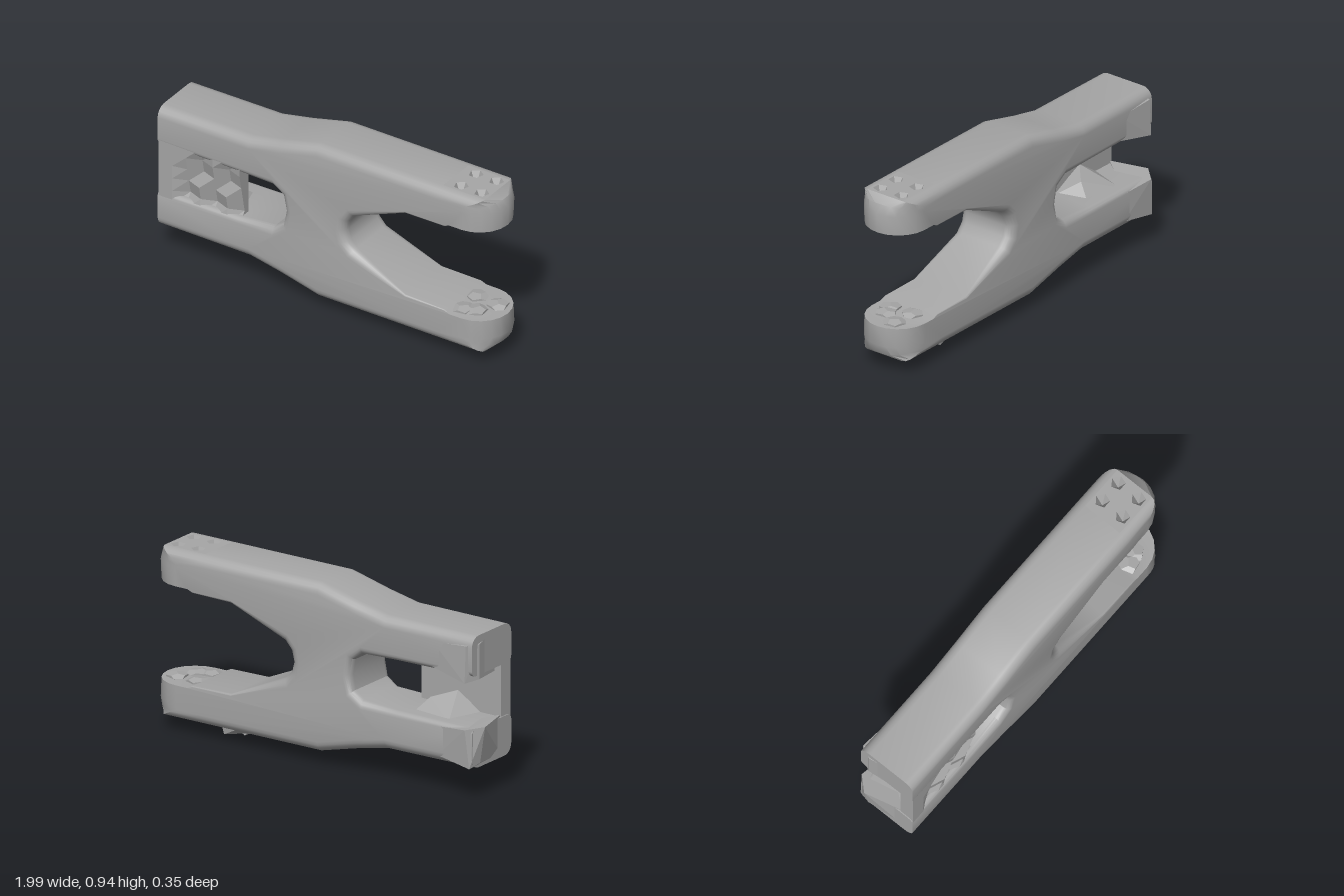
import * as THREE from 'three';
import { toCreasedNormals } from 'three/addons/utils/BufferGeometryUtils.js';
import { ConvexGeometry } from 'three/addons/geometries/ConvexGeometry.js';

const H = 0.165;   // half thickness of the fork
const MID = 0.505; // height of the mirror plane

// Upper half of the outline: x, y, inward rounding (dx, dy), rounding depth
const UPPER = [
  [0.13, 0.505, -0.05, 0, 0.05], [0.145, 0.56, -0.05, 0.02, 0.05], [0.18, 0.6, -0.03, 0.04, 0.05],
  [0.49, 0.74, 0, 0.01, 0.01], [0.72, 0.745, 0, 0.005, 0.005], [0.75, 0.76, 0, 0, 0],
  [0.985, 0.76, -0.165, 0, 0.165], [0.99, 0.86, -0.165, 0, 0.165], [0.97, 0.91, -0.15, -0.04, 0.14],
  [0.925, 0.94, -0.11, -0.055, 0.055], [0.68, 0.94, 0, -0.055, 0.055], [-0.03, 0.94, 0, -0.055, 0.055],
  [-0.25, 0.885, 0, -0.055, 0.055], [-0.43, 0.848, 0, -0.055, 0.055], [-0.96, 0.845, 0, -0.055, 0.055],
  [-0.96, 0.64, 0, 0.03, 0.03], [-0.5, 0.635, 0, 0.03, 0.03], [-0.29, 0.625, 0, 0.04, 0.04],
  [-0.235, 0.585, 0.03, 0.03, 0.04], [-0.22, 0.505, 0.04, 0, 0.04],
];

// Slab whose edges are rounded by a different amount at each outline point
function forkGeometry() {
  const lower = UPPER.slice(1, -1).reverse().map(([x, y, dx, dy, r]) => [x, 2 * MID - y, dx, -dy, r]);
  const outline = [...UPPER, ...lower];
  const steps = 5, rings = [];
  for (const s of [-1, 1]) {
    for (let k = 0; k <= steps; k++) {
      const a = (s < 0 ? steps - k : k) / steps * Math.PI / 2;
      rings.push(outline.map(([x, y, dx, dy, r]) => {
        const t = 1 - Math.cos(a);
        return new THREE.Vector3(x + dx * t, y + dy * t, s * (H - r * (1 - Math.sin(a))));
      }));
    }
  }
  const pos = [];
  const tri = (a, b, c) => {
    const area = b.clone().sub(a).cross(c.clone().sub(a)).length();
    if (area > 1e-9) for (const p of [a, b, c]) pos.push(p.x, p.y, p.z);
  };
  const n = outline.length;
  for (let k = 0; k < rings.length - 1; k++) {
    for (let i = 0; i < n; i++) {
      const j = (i + 1) % n;
      // leave the flat strip at each tip open for the pitted plate
      if (k === steps && Math.abs(outline[i][0] + outline[j][0] - 1.605) < 1e-4) continue;
      tri(rings[k][i], rings[k][j], rings[k + 1][j]);
      tri(rings[k][i], rings[k + 1][j], rings[k + 1][i]);
    }
  }
  const back = rings[0], front = rings[rings.length - 1];
  const faces = THREE.ShapeUtils.triangulateShape(front.map(p => new THREE.Vector2(p.x, p.y)), []);
  for (const [a, b, c] of faces) {
    tri(front[a], front[b], front[c]);
    tri(back[a], back[c], back[b]);
  }
  const g = new THREE.BufferGeometry();
  g.setAttribute('position', new THREE.Float32BufferAttribute(pos, 3));
  return toCreasedNormals(g, 0.6);
}

export function createModel() {
  const steel = new THREE.MeshStandardMaterial({ color: 0xa6a6a6, side: THREE.DoubleSide });
  steel.name = 'grey';
  const model = new THREE.Group();
  model.name = 'forkBracket';
  const body = new THREE.Group();
  body.name = 'body';
  body.position.z = 0.01;
  model.add(body);
  const add = (parent, name, geometry) => {
    const mesh = new THREE.Mesh(geometry, steel);
    mesh.name = name;
    parent.add(mesh);
    return mesh;
  };
  const flat = g => {
    const f = g.index ? g.toNonIndexed() : g;
    f.computeVertexNormals();
    return f;
  };
  const shard = (parent, name, pts) =>
    add(parent, name, flat(new ConvexGeometry(pts.map(p => new THREE.Vector3(...p)))));

  add(body, 'fork', forkGeometry());

  // Front wall of the rear pocket, dented in the middle
  const wall = new THREE.BoxGeometry(0.475, 0.36, 0.08, 6, 5, 1);
  const p = wall.attributes.position;
  for (let i = 0; i < p.count; i++) {
    const x = p.getX(i), y = p.getY(i);
    if (p.getZ(i) > 0 && x > -0.1 && Math.abs(y) < 0.15) {
      const col = Math.round((x + 0.2375) / 0.079), row = Math.round((y + 0.18) / 0.072);
      p.setZ(i, 0.04 - 0.015 * ((col * 2 + row * 3) % 4));
    }
  }
  add(body, 'pocketWall', flat(wall)).position.set(-0.7175, MID, 0.124);

  // Tips: pitted outer plates and worn jaw pads, mirrored
  const pits = [];
  for (const x of [0.755, 0.875]) for (const z of [-0.065, 0.065]) pits.push([x, z]);
  const plate = new THREE.Shape([[0.68, -0.11], [0.925, -0.11], [0.925, 0.11], [0.68, 0.11]]
    .map(q => new THREE.Vector2(...q)));
  const R = 0.038;
  for (const [x, z] of pits) {
    const hole = [];
    for (let k = 0; k < 5; k++) {
      const a = k / 5 * Math.PI * 2;
      hole.push(new THREE.Vector2(x + R * Math.sin(a), -z + R * Math.cos(a)));
    }
    plate.holes.push(new THREE.Path(hole));
  }
  const plateGeo = new THREE.ShapeGeometry(plate).rotateX(-Math.PI / 2);
  const pitGeo = flat(new THREE.ConeGeometry(R, 0.07, 5, 1, true).rotateX(Math.PI));
  for (const s of [1, -1]) {
    const tip = new THREE.Group();
    tip.name = s > 0 ? 'upperTip' : 'lowerTip';
    tip.position.y = MID;
    tip.scale.y = s;
    body.add(tip);
    add(tip, 'tipPlate', plateGeo).position.y = 0.435;
    for (const [x, z] of pits) add(tip, 'pit', pitGeo).position.set(x, 0.4, z);
    [[0.77, -0.05, 0.2], [0.84, 0.06, 1.1], [0.9, -0.04, 2.3], [0.78, 0.08, 0.7]].forEach(([x, z, turn]) => {
      const pad = add(tip, 'jawPad', flat(new THREE.DodecahedronGeometry(0.06)));
      pad.scale.y = 0.3;
      pad.rotation.y = turn;
      pad.position.set(x, 0.254, z);
    });
  }

  // Small broken feet under the lower arm
  shard(model, 'foot', [[0.46, 0.08, 0.12], [0.6, 0.08, 0.12], [0.46, 0.08, 0.04], [0.6, 0.08, 0.04],
    [0.47, 0.03, 0.08], [0.53, 0, 0.02], [0.59, 0.025, 0.03]]);
  shard(model, 'foot', [[0.47, 0.08, -0.03], [0.6, 0.08, -0.03], [0.47, 0.08, -0.08], [0.6, 0.08, -0.08],
    [0.48, 0.03, -0.01], [0.59, 0.02, -0.01], [0.59, 0.02, -0.07]]);

  // Bent rear corners of the two rear arms
  shard(model, 'lowerRearCorner', [[-0.95, 0.18, 0.1], [-0.95, 0.38, 0.1], [-1, 0.38, -0.1], [-0.97, 0.19, -0.1],
    [-0.95, 0.17, -0.165], [-0.93, 0.37, -0.175], [-0.75, 0.2, -0.15], [-0.75, 0.35, -0.15]]);
  shard(model, 'upperRearCorner', [[-0.95, 0.83, 0.05], [-0.95, 0.62, 0.05], [-0.965, 0.8, -0.1], [-0.965, 0.62, -0.1],
    [-0.93, 0.8, -0.165], [-0.93, 0.61, -0.175], [-0.72, 0.78, -0.15], [-0.72, 0.65, -0.15]]);

  // Broken lumps inside the pocket
  shard(model, 'pocketLump', [[-0.85, 0.36, 0.1], [-0.5, 0.36, 0.1], [-0.55, 0.36, -0.08], [-0.78, 0.36, -0.1],
    [-0.7, 0.46, 0.09], [-0.6, 0.43, 0]]);
  shard(model, 'pocketLump', [[-0.75, 0.65, 0.1], [-0.5, 0.65, 0.1], [-0.55, 0.65, -0.06], [-0.62, 0.56, 0.09]]);
  return model;
}
